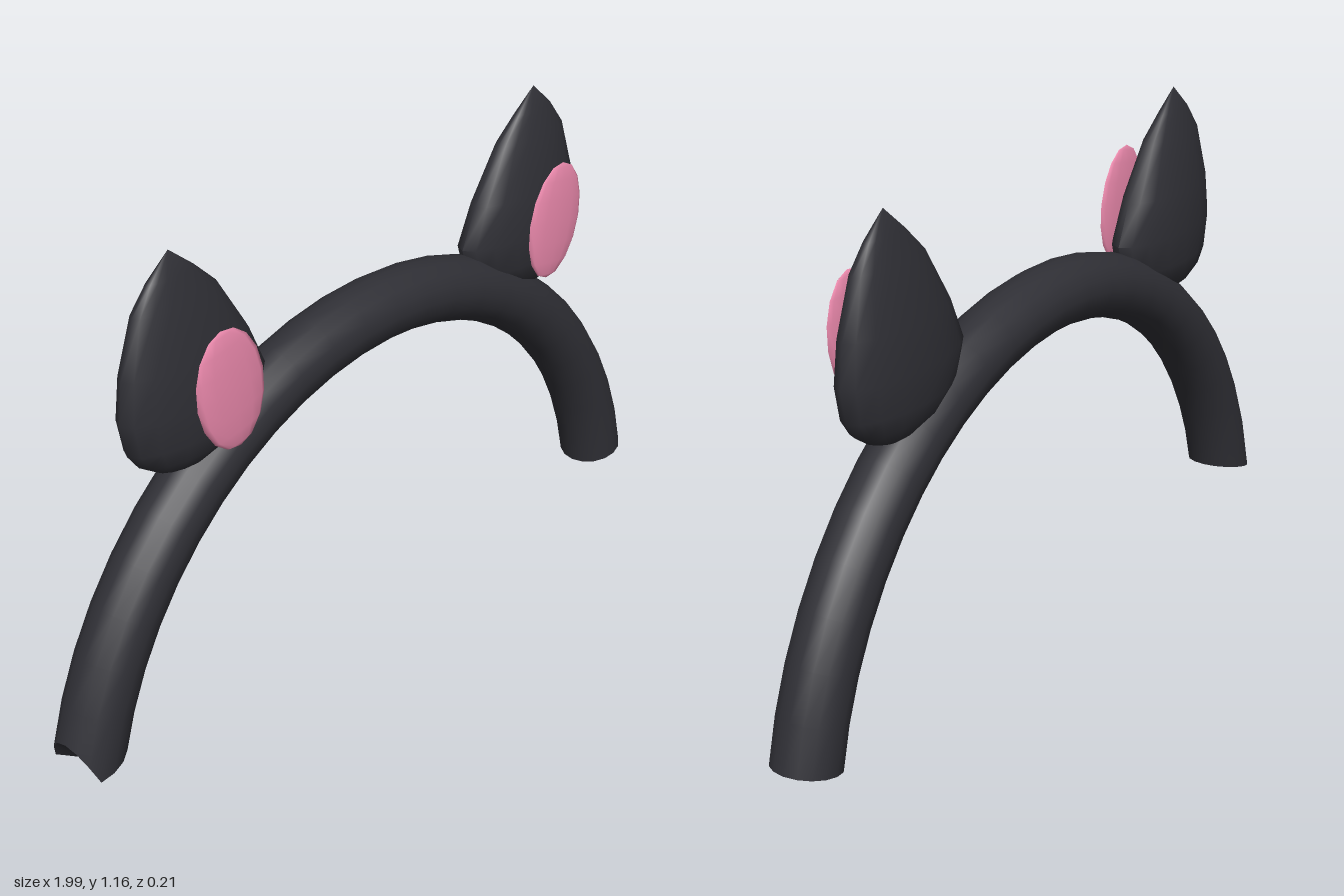
import * as THREE from 'three';
import { toCreasedNormals } from 'three/addons/utils/BufferGeometryUtils.js';

const black = new THREE.MeshStandardMaterial({ color: 0x303036 });
const pink = new THREE.MeshStandardMaterial({ color: 0xf08cb0 });
const MID_X = -0.01, MID_Z = -0.025;

// Moves every vertex of a geometry by a rule
function reshape(geometry, rule, crease) {
  const p = geometry.attributes.position;
  const v = new THREE.Vector3();
  for (let i = 0; i < p.count; i++) {
    v.fromBufferAttribute(p, i);
    rule(v);
    p.setXYZ(i, v.x, v.y, v.z);
  }
  return toCreasedNormals(geometry, crease);
}

// Cylinder bent into an arch; the -x end is folded to a blunt wedge
function bandGeometry() {
  const R = 0.945, r = 0.08, segments = 24;
  return reshape(new THREE.CylinderGeometry(r, r, 1, 16, segments), (v) => {
    const u = v.y + 0.5;
    const c = v.x / r;
    let end = 0.2;
    if (u > 0.999) end += c < 0.38 ? 0.06 * (0.38 - c) / 1.38 : 0.072 * (c - 0.38) / 0.62;
    else end = 0.24;
    const a = THREE.MathUtils.lerp(0.193, Math.PI - end, u);
    v.set(MID_X + 0.002 + (R + v.x) * Math.cos(a), 0.78 - R + (R + v.x) * Math.sin(a), MID_Z + v.z);
  }, 0.9);
}

// Ear sections: height, inner x, outer x, half depth
const EAR = [
  [0.64, 0.59, 0.59, 0],
  [0.646, 0.55, 0.63, 0.022],
  [0.66, 0.50, 0.67, 0.042],
  [0.69, 0.42, 0.715, 0.062],
  [0.73, 0.365, 0.745, 0.07],
  [0.81, 0.34, 0.762, 0.073],
  [0.91, 0.385, 0.75, 0.064],
  [1.04, 0.467, 0.71, 0.04],
  [1.1, 0.53, 0.665, 0.02],
  [1.157, 0.60, 0.60, 0],
];

function earGeometry(side) {
  const n = EAR.length - 1;
  return reshape(new THREE.CylinderGeometry(1, 1, 1, 16, n, true), (v) => {
    const [y, inner, outer, depth] = EAR[Math.round((v.y + 0.5) * n)];
    const centre = (inner + outer) / 2 + 0.01;
    v.set(MID_X + side * centre + v.x * (outer - inner) / 2, y, MID_Z + v.z * depth);
  }, 1.1);
}

export function createModel() {
  const group = new THREE.Group();
  const add = (name, geometry, material) => {
    const mesh = new THREE.Mesh(geometry, material);
    mesh.name = name;
    group.add(mesh);
    return mesh;
  };

  add('headband', bandGeometry(), black);

  for (const [name, side] of [['left', 1], ['right', -1]]) {
    add(name + 'Ear', earGeometry(side), black);

    // Thin pink pad floating in front of the ear
    const pad = add(name + 'InnerEar', new THREE.SphereGeometry(1, 12, 8), pink);
    pad.scale.set(0.099, 0.147, 0.013);
    pad.position.set(MID_X + side * 0.56, 0.853, 0.091);
    pad.rotation.z = -side * 0.17;
  }
  return group;
}
